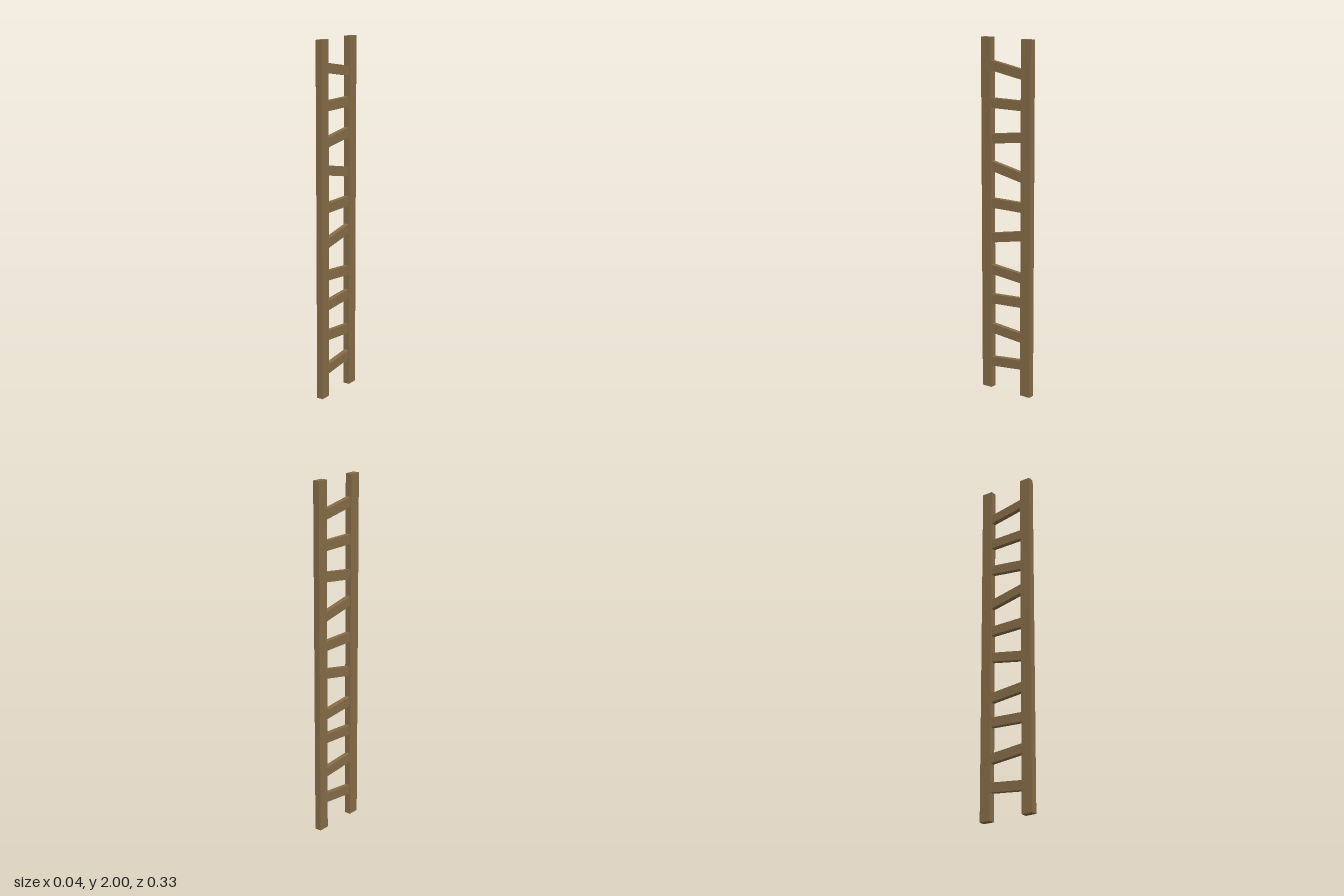
import * as THREE from 'three';

export function createModel() {
  const ladder = new THREE.Group();
  ladder.name = 'ladder';
  const wood = new THREE.MeshStandardMaterial({ color: 0x866c48 });
  wood.name = 'weathered wood';

  const add = (name, w, h, d, y, z, tilt = 0) => {
    const mesh = new THREE.Mesh(new THREE.BoxGeometry(w, h, d), wood);
    mesh.name = name;
    mesh.position.set(0, y, z);
    mesh.rotation.x = tilt;
    ladder.add(mesh);
  };

  // Upright rails
  add('frontRail', 0.038, 2, 0.064, 1, 0.133);
  add('backRail', 0.038, 2, 0.064, 1, -0.133);

  // Crooked rungs: centre height at the front and back rail
  const gap = 0.202;
  const rungs = [
    [0.157, 0.18], [0.358, 0.34], [0.533, 0.546], [0.707, 0.688], [0.89, 0.93],
    [1.09, 1.09], [1.299, 1.257], [1.45, 1.477], [1.647, 1.647], [1.85, 1.814],
  ];
  rungs.forEach(([front, back], i) => {
    const tilt = Math.atan2(back - front, gap);
    add(`rung${i + 1}`, 0.027, 0.054 * Math.cos(tilt), 0.23, (front + back) / 2, 0, tilt);
  });

  return ladder;
}
